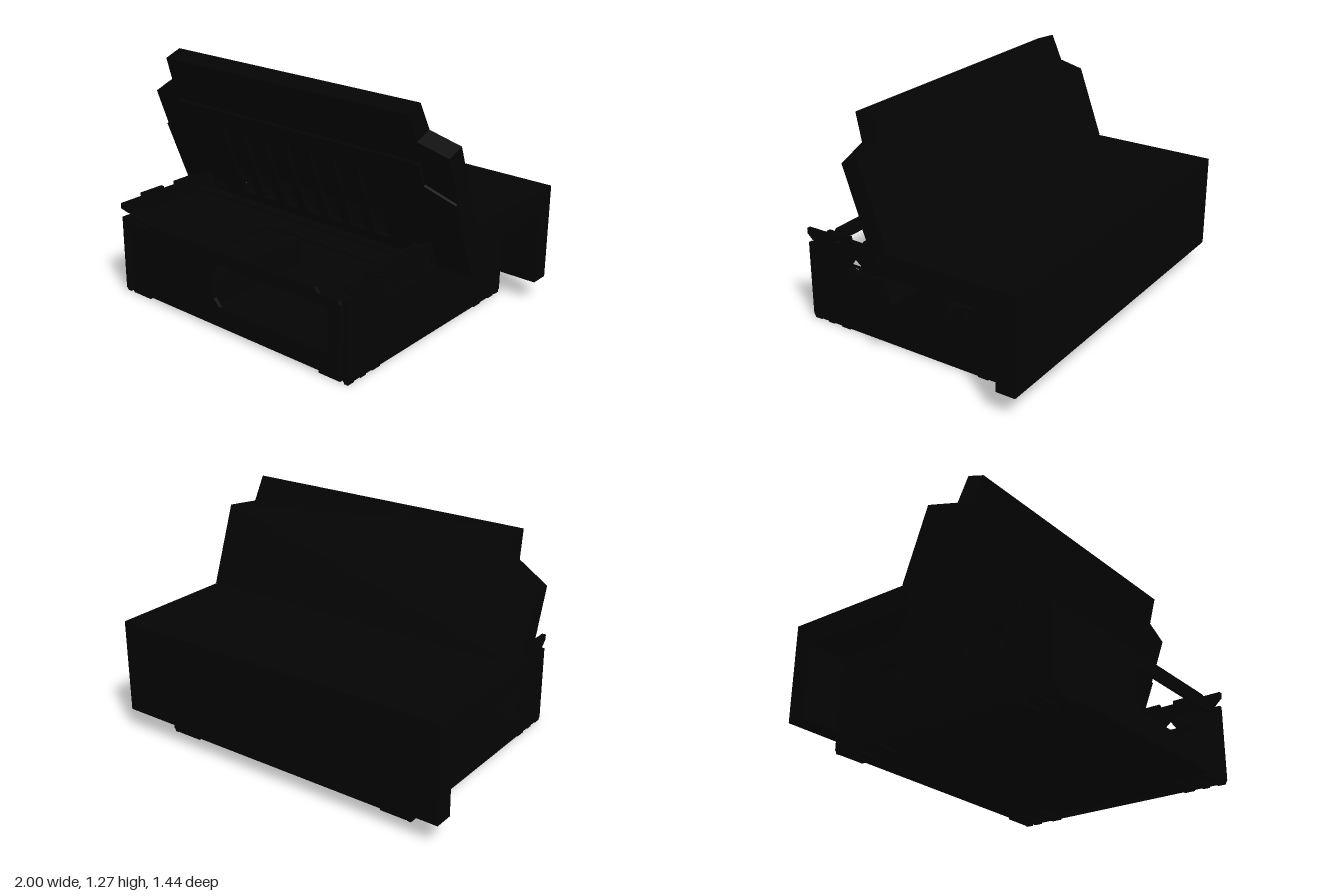
import * as THREE from 'three';

const black = new THREE.MeshStandardMaterial({ color: 0x040404 });
black.name = 'matte black';

function add(parent, name, geometry) {
  const mesh = new THREE.Mesh(geometry, black);
  mesh.name = name;
  parent.add(mesh);
  return mesh;
}

// Box given by its limits on each axis
function box(parent, name, x0, x1, y0, y1, z0, z1) {
  const mesh = add(parent, name, new THREE.BoxGeometry(x1 - x0, y1 - y0, z1 - z0));
  mesh.position.set((x0 + x1) / 2, (y0 + y1) / 2, (z0 + z1) / 2);
  return mesh;
}

// Rod lying along x
function rod(parent, name, x0, x1, y, z, r) {
  const mesh = add(parent, name, new THREE.CylinderGeometry(r, r, x1 - x0, 16));
  mesh.rotation.z = Math.PI / 2;
  mesh.position.set((x0 + x1) / 2, y, z);
  return mesh;
}

const toPoints = (list) => list.map(([a, b]) => new THREE.Vector2(a, b));
const rect = (a0, a1, b0, b1) => [[a0, b0], [a1, b0], [a1, b1], [a0, b1]];

function extrude(outline, holes, depth) {
  const shape = new THREE.Shape(toPoints(outline));
  shape.holes = holes.map((h) => new THREE.Path(toPoints(h)));
  return new THREE.ExtrudeGeometry(shape, { depth, bevelEnabled: false });
}

// Plate with a (z, y) outline, running from x to x + thickness
function sidePlate(parent, name, outline, holes, x, thickness) {
  const flip = (list) => list.map(([z, y]) => [-z, y]);
  const geometry = extrude(flip(outline), holes.map(flip), thickness);
  geometry.rotateY(Math.PI / 2);
  geometry.translate(x, 0, 0);
  return add(parent, name, geometry);
}

const slots = [0.43, 0.225, -0.2, -0.3, -0.41].map((z) => rect(z - 0.01, z + 0.01, 0.29, 0.345));

function buildSide(root, s) {
  const side = new THREE.Group();
  side.name = s > 0 ? 'leftSide' : 'rightSide';
  root.add(side);
  const at = (x, t) => (s > 0 ? x : -x - t);
  const span = (x0, x1) => (s > 0 ? [x0, x1] : [-x1, -x0]);

  // Pierced outer plate with an upper rail
  const outline = [[0.715, 0.02], [0.705, 0.006], [-0.6, 0.006], [-0.612, 0.02], [-0.612, 0.44],
    [-0.605, 0.44], [-0.605, 0.52], [0.72, 0.52], [0.72, 0.49], [0.675, 0.45], [0.64, 0.44], [0.715, 0.44]];
  const windows = [
    [[0.45, 0.36], [0.31, 0.36], [0.4, 0.43]],
    [[0.29, 0.36], [0.18, 0.36], [0.21, 0.4]],
    [[-0.18, 0.36], [-0.36, 0.36], [-0.29, 0.405]],
    [[0.09, 0.38], [0.02, 0.38], [0.06, 0.44]],
    rect(-0.56, -0.53, 0.15, 0.16),
  ];
  sidePlate(side, 'outerPlate', outline, [...windows, ...slots], at(0.76, 0.022), 0.022);

  // Inner tub wall
  sidePlate(side, 'tubWall', rect(-0.6, 0.7, 0.02, 0.355), slots, at(0.72, 0.014), 0.014);

  // Raised trapezoid frames on the plate
  for (const z of [0.35, -0.25]) {
    const trapezoid = [[z + 0.21, 0.15], [z - 0.21, 0.15], [z - 0.16, 0.36], [z + 0.16, 0.36]];
    const cut = [[z + 0.18, 0.17], [z - 0.18, 0.17], [z - 0.14, 0.28], [z + 0.14, 0.28]];
    const crossing = slots.filter((q) => Math.abs(q[0][0] + 0.01 - z) < 0.155);
    sidePlate(side, 'plateFrame', trapezoid, [cut, ...crossing], at(0.782, 0.005), 0.005);
  }

  // Latch tabs above the rail
  for (const z of [0.505, 0.265]) {
    box(side, 'latchTab', ...span(0.76, 0.782), 0.515, 0.54, z - 0.075, z + 0.075);
    box(side, 'latchStem', ...span(0.78, 0.787), 0.43, 0.52, z - 0.025, z + 0.025);
  }
  rod(side, 'crossPin', ...span(0.71, 0.81), 0.5, 0.5, 0.011);
  rod(side, 'rearPin', ...span(0.71, 0.787), 0.42, -0.5, 0.012);

  // Feet, the rear ones reaching out to the plate
  for (const [z0, z1] of [[0.66, 0.705], [0.57, 0.61], [0.46, 0.52], [-0.42, -0.36], [-0.55, -0.5], [-0.605, -0.565]]) {
    box(side, 'foot', ...span(0.6, z0 > 0 ? 0.735 : 0.755), 0.002, 0.03, z0, z1);
    box(side, 'plateFoot', ...span(0.76, 0.782), 0, 0.02, z0, z1);
  }
}

function buildTub(root) {
  const tub = new THREE.Group();
  tub.name = 'tub';
  root.add(tub);
  box(tub, 'floor', -0.735, 0.735, 0.015, 0.04, -0.61, 0.705);

  // Rear corner posts, leaving the back of the tub open
  for (const s of [-1, 1]) box(tub, 'rearPost', s * 0.67 - 0.085, s * 0.67 + 0.085, 0.02, 0.355, -0.61, -0.59);

  // Front wall with the tray opening
  const front = [[-0.72, 0.02], [0.72, 0.02], [0.735, 0.035], [0.735, 0.4], [0.72, 0.42], [0.6, 0.42],
    [0.58, 0.445], [-0.57, 0.445], [-0.59, 0.42], [-0.72, 0.42], [-0.735, 0.4], [-0.735, 0.035]];
  const opening = [[-0.06, 0.13], [0.66, 0.13], [0.66, 0.37], [-0.06, 0.37], [-0.1, 0.33], [-0.1, 0.17]];
  add(tub, 'frontWall', extrude(front, [opening], 0.02)).position.z = 0.69;

  // Closed deck beside the open tray
  box(tub, 'divider', -0.13, -0.11, 0.04, 0.28, 0.05, 0.69);
  box(tub, 'deck', -0.735, -0.1, 0.43, 0.445, 0.12, 0.7);
  box(tub, 'deckPanel', -0.55, -0.3, 0.445, 0.453, 0.35, 0.6);
  box(tub, 'trayFloor', -0.11, 0.72, 0.04, 0.12, 0.1, 0.69);

  // Guide and cover across the tub
  box(tub, 'guideBar', -0.75, 0.75, 0.44, 0.46, 0.12, 0.18);
  box(tub, 'trayCover', -0.1, 0.735, 0.43, 0.445, 0.12, 0.3);
}

function buildHousing(root) {
  const housing = new THREE.Group();
  housing.name = 'rearHousing';
  root.add(housing);
  box(housing, 'topSlab', -1, 0.995, 0.52, 0.645, -0.612, 0.05);
  box(housing, 'backWall', -1, 0.995, 0.12, 0.645, -0.718, -0.612);
}

// Round-topped slot outline
function slotOutline(x, bottom, top, r) {
  const arc = Array.from({ length: 9 }, (_, i) => {
    const a = (i * Math.PI) / 8;
    return [x + r * Math.cos(a), top - r + r * Math.sin(a)];
  });
  return [[x - r, bottom], [x + r, bottom], ...arc];
}

function buildLid(root) {
  // Lid axes: y runs along the lid, z out of its inner face
  const lid = new THREE.Group();
  lid.name = 'openLid';
  lid.position.set(-0.001, 0.648, -0.003);
  lid.rotation.x = THREE.MathUtils.degToRad(20);
  root.add(lid);
  const outline = [[-1, 0], [0.995, 0], [0.995, 0.465], [0.825, 0.518], [0.805, 0.665],
    [-0.81, 0.665], [-0.825, 0.512], [-1, 0.415]];
  add(lid, 'lidPanel', extrude(outline, [], 0.104));

  // Slotted inner sheet, hanging below the hinge
  const sheet = [[-0.995, -0.255], [0.99, -0.255], [0.99, 0.2], [0.82, 0.27], [0.82, 0.4],
    [-0.82, 0.4], [-0.82, 0.27], [-0.995, 0.2]];
  const sheetSlots = [-3, -2, -1, 0, 1, 2, 3].map((i) => slotOutline(i * 0.155, -0.16, 0.31, 0.045));
  const inner = add(lid, 'innerSheet', extrude(sheet, sheetSlots, 0.021));
  inner.position.z = 0.0905;
  inner.rotation.x = 0.026;

  for (const s of [-1, 1]) rod(lid, 'hingeBoss', s * 0.69 - 0.03, s * 0.69 + 0.03, -0.17, 0.1, 0.025);
}

export function createModel() {
  const root = new THREE.Group();
  root.name = 'openMachine';
  buildTub(root);
  for (const s of [-1, 1]) buildSide(root, s);
  buildHousing(root);
  buildLid(root);
  return root;
}
